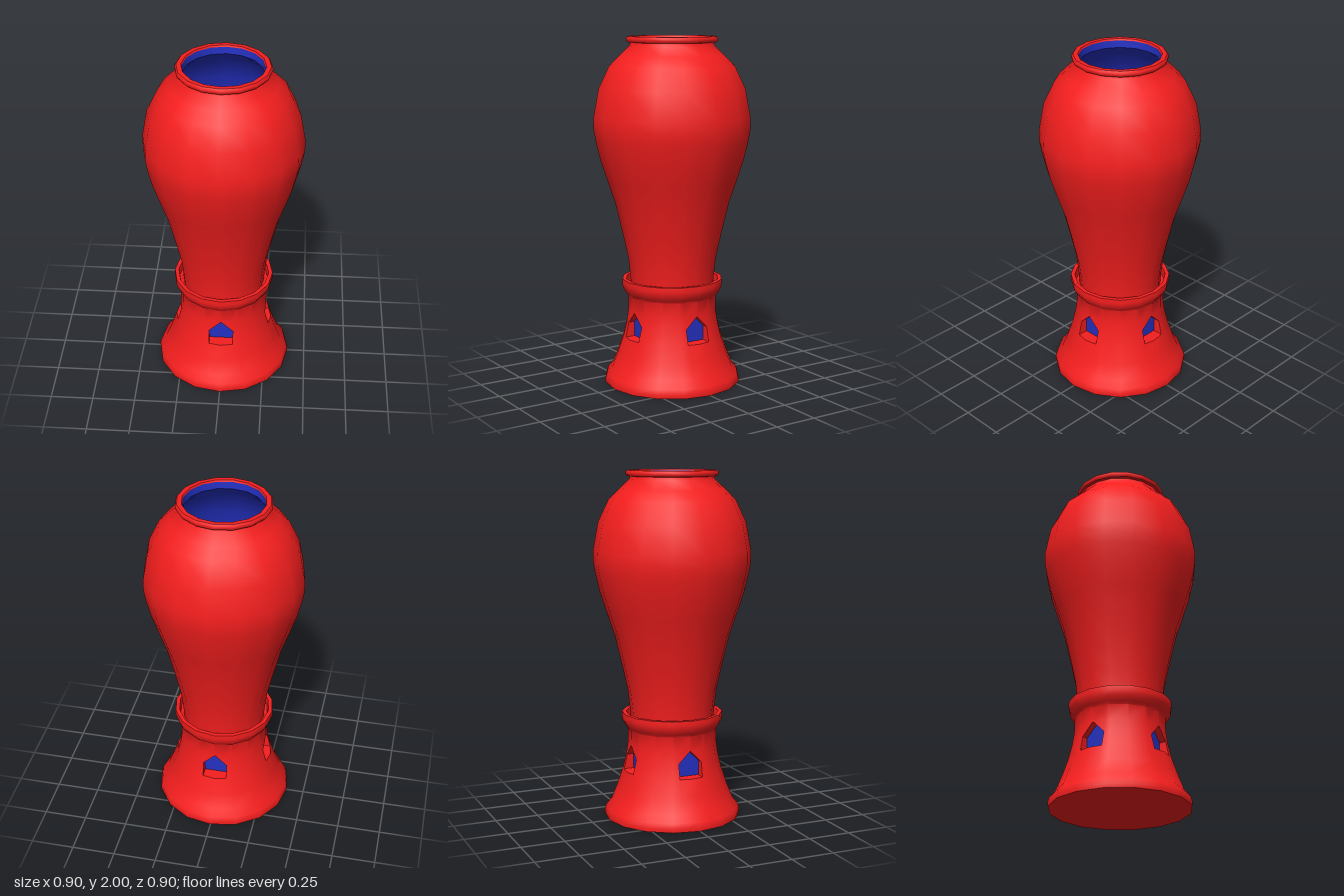
import * as THREE from 'three';
import { toCreasedNormals } from 'three/addons/utils/BufferGeometryUtils.js';

const SIDES = 16, STEP = Math.PI / 8;
const HALF_W = 0.07, SILL = 0.275, SPRING = 0.36, APEX = 0.43, PANEL_Z = 0.215;
const red = new THREE.MeshStandardMaterial({ color: 0xf51e1e });
const redThin = new THREE.MeshStandardMaterial({ color: 0xf51e1e, side: THREE.DoubleSide });
const blue = new THREE.MeshStandardMaterial({ color: 0x2430c0 });

function addMesh(parent, name, geometry, material) {
  const mesh = new THREE.Mesh(geometry, material);
  mesh.name = name;
  parent.add(mesh);
  return mesh;
}

function lathe(profile) {
  const points = profile.map(([r, y]) => new THREE.Vector2(r, y));
  return toCreasedNormals(new THREE.LatheGeometry(points, SIDES), 0.8);
}

function fromTriangles(positions) {
  const geometry = new THREE.BufferGeometry();
  geometry.setAttribute('position', new THREE.Float32BufferAttribute(positions, 3));
  geometry.computeVertexNormals();
  return geometry;
}

// Depth of the wall at a window jamb, lying on the flat facet of radius r
function jambZ(r) {
  return r - (HALF_W / Math.sin(STEP)) * (1 - Math.cos(STEP));
}

// Six columns per quarter: left jamb, centre, right jamb, then three ridges
function wallPoint(column, [r, y]) {
  const quarter = Math.floor(column / 6), k = column % 6;
  const point = k < 3
    ? new THREE.Vector3((k - 1) * HALF_W, y, k === 1 ? r : jambZ(r))
    : new THREE.Vector3(r * Math.sin((k - 2) * STEP), y, r * Math.cos((k - 2) * STEP));
  return point.applyAxisAngle(new THREE.Vector3(0, 1, 0), quarter * Math.PI / 2);
}

// Base wall, leaving four pointed openings
function baseWall(profile) {
  const out = [];
  const tri = (...points) => points.forEach(p => out.push(p.x, p.y, p.z));
  for (let j = 0; j < profile.length - 1; j++) {
    for (let c = 0; c < 24; c++) {
      const k = c % 6, next = (c + 1) % 24;
      const a = wallPoint(c, profile[j]), b = wallPoint(next, profile[j]);
      const d = wallPoint(c, profile[j + 1]), e = wallPoint(next, profile[j + 1]);
      const inWindow = k < 2;
      if (inWindow && profile[j][1] === SILL) continue;
      if (inWindow && profile[j][1] === SPRING) {
        if (k === 0) tri(a, e, d);
        else tri(b, e, d);
        continue;
      }
      tri(a, b, e);
      tri(a, e, d);
    }
  }
  return toCreasedNormals(fromTriangles(out), 0.8);
}

// Recessed window: red reveal around a blue panel
function createWindow(radiusAt) {
  const group = new THREE.Group();
  const outline = [
    [-HALF_W, SILL], [0, SILL], [HALF_W, SILL],
    [HALF_W, SPRING], [0, APEX], [-HALF_W, SPRING],
  ];
  const out = [];
  outline.forEach((p, i) => {
    const q = outline[(i + 1) % outline.length];
    const front = ([x, y]) => [x, y, x === 0 ? radiusAt[y] : jambZ(radiusAt[y])];
    const back = ([x, y]) => [x, y, PANEL_Z];
    out.push(...front(p), ...front(q), ...back(q), ...front(p), ...back(q), ...back(p));
  });
  addMesh(group, 'windowReveal', fromTriangles(out), redThin);
  const shape = new THREE.Shape(outline.map(([x, y]) => new THREE.Vector2(x, y)));
  addMesh(group, 'windowPanel', new THREE.ShapeGeometry(shape), blue).position.z = PANEL_Z;
  return group;
}

export function createModel() {
  const model = new THREE.Group();
  model.name = 'vase';

  // Flared foot, waist and collar
  const base = [
    [0.395, 0], [0.397, 0.02], [0.388, 0.05], [0.355, 0.09], [0.32, 0.18],
    [0.288, SILL], [0.268, SPRING], [0.258, APEX], [0.257, 0.515], [0.27, 0.53],
    [0.288, 0.56], [0.293, 0.585], [0.291, 0.612], [0.268, 0.612], [0.262, 0.57], [0.235, 0.56],
  ];
  addMesh(model, 'base', baseWall(base), red);
  addMesh(model, 'baseUnderside', new THREE.CircleGeometry(0.395, SIDES), red).rotation.x = Math.PI / 2;

  // Windows on all four sides
  const radiusAt = Object.fromEntries(base.map(([r, y]) => [y, r]));
  for (let i = 0; i < 4; i++) {
    const opening = createWindow(radiusAt);
    opening.name = 'window' + (i + 1);
    opening.rotation.y = i * Math.PI / 2;
    model.add(opening);
  }

  // Swelling body
  const body = [
    [0.24, 0.555], [0.244, 0.62], [0.257, 0.737], [0.285, 0.865], [0.331, 1.06],
    [0.375, 1.19], [0.414, 1.31], [0.44, 1.42], [0.45, 1.48], [0.45, 1.55],
    [0.42, 1.71], [0.36, 1.835], [0.3, 1.895], [0.242, 1.95], [0.238, 1.97],
  ];
  addMesh(model, 'body', lathe(body), red);

  // Rolled rim
  addMesh(model, 'rim', lathe([
    [0.235, 1.965], [0.255, 1.967], [0.262, 1.977], [0.262, 1.99],
    [0.254, 2], [0.228, 2], [0.224, 1.99],
  ]), red);

  // Blue lining with a floor
  const lining = body.slice(1, -1).reverse().map(([r, y]) => [r - 0.022, y]);
  addMesh(model, 'lining', lathe([[0.224, 1.99], ...lining, [0, 0.62]]), blue);

  return model;
}
